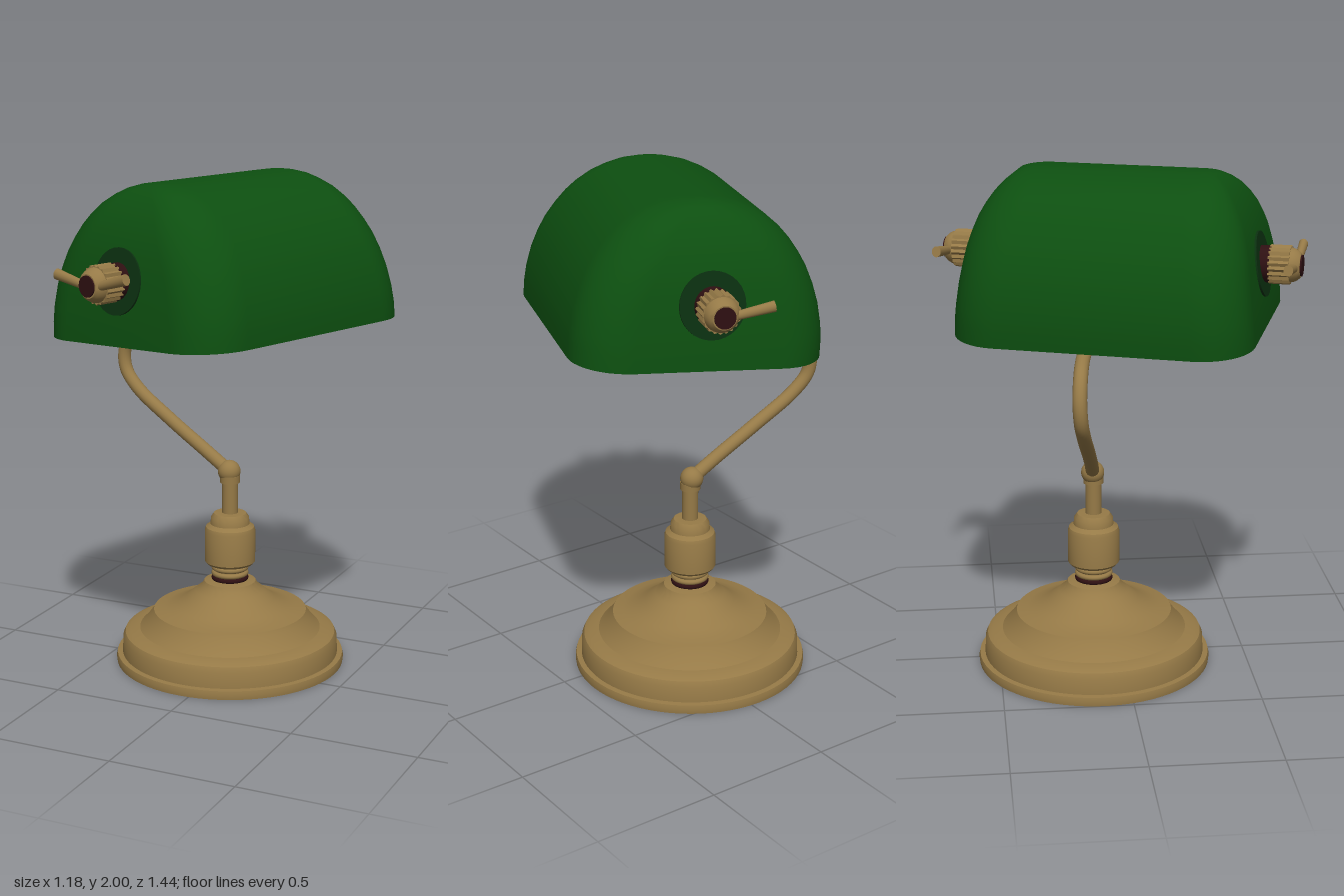
import * as THREE from 'three';
import { toCreasedNormals } from 'three/addons/utils/BufferGeometryUtils.js';

const mat = (name, color) => {
  const m = new THREE.MeshStandardMaterial({ color });
  m.name = name;
  return m;
};

function add(parent, name, geometry, material, x = 0, y = 0, z = 0) {
  const mesh = new THREE.Mesh(geometry, material);
  mesh.name = name;
  mesh.position.set(x, y, z);
  parent.add(mesh);
  return mesh;
}

const lathe = (pts, seg = 64) =>
  toCreasedNormals(new THREE.LatheGeometry(pts.map(p => new THREE.Vector2(p[0], p[1])), seg), 0.6);

// Skin over stacked rounded rectangles: [height, half width, half length, corner radius]
function loftRects(rows, steps = 10) {
  const pos = [], index = [], n = 4 * (steps + 1);
  for (const [h, w, l, r] of rows) {
    for (let c = 0; c < 4; c++) {
      const sx = c === 0 || c === 3 ? 1 : -1, sz = c < 2 ? 1 : -1;
      for (let i = 0; i <= steps; i++) {
        const a = (c + i / steps) * Math.PI / 2;
        pos.push(sx * (w - r) + r * Math.cos(a), h, sz * (l - r) + r * Math.sin(a));
      }
    }
  }
  for (let j = 0; j < rows.length - 1; j++) {
    for (let i = 0; i < n; i++) {
      const a = j * n + i, b = j * n + (i + 1) % n;
      index.push(a, a + n, b, b, a + n, b + n);
    }
  }
  const g = new THREE.BufferGeometry();
  g.setAttribute('position', new THREE.Float32BufferAttribute(pos, 3));
  g.setIndex(index);
  return toCreasedNormals(g, 0.7);
}

// Fluted barrel along +z
function flutedBarrel(rOuter, rInner, flutes, depth) {
  const pts = [];
  for (let i = 0; i < flutes * 2; i++) {
    const a = i * Math.PI / flutes, r = i % 2 ? rInner : rOuter;
    pts.push(new THREE.Vector2(r * Math.cos(a), r * Math.sin(a)));
  }
  return new THREE.ExtrudeGeometry(new THREE.Shape(pts), { depth, bevelEnabled: false });
}

// Wing nut on an end of the shade, axis +z
function makeKnob(wings, brass, maroon, darkGreen) {
  const knob = new THREE.Group();
  const plate = add(knob, 'knobPlate', new THREE.CylinderGeometry(0.125, 0.125, 0.008, 32), darkGreen, 0, 0.24, 0.552);
  plate.rotation.x = Math.PI / 2 - 0.165;
  add(knob, 'knobWasher', new THREE.CylinderGeometry(0.07, 0.07, 0.05, 32), maroon, 0, 0.24, 0.56).rotation.x = Math.PI / 2;
  add(knob, 'knobBarrel', flutedBarrel(0.074, 0.067, 20, 0.08), brass, 0, 0.24, 0.58);
  add(knob, 'knobHub', lathe([[0.066, 0], [0.063, 0.015], [0.055, 0.03], [0.045, 0.04], [0, 0.04]], 32),
    brass, 0, 0.24, 0.658).rotation.x = Math.PI / 2;
  add(knob, 'knobCap', new THREE.CylinderGeometry(0.04, 0.04, 0.008, 24), maroon, 0, 0.24, 0.7).rotation.x = Math.PI / 2;
  for (const s of wings) {
    const wing = add(knob, 'knobWing', new THREE.CylinderGeometry(0.021, 0.016, 0.16, 16), brass, s * 0.11, 0.255, 0.678);
    wing.rotation.z = -s * 1.35;
    wing.scale.z = 0.85;
  }
  return knob;
}

export function createModel() {
  const brass = mat('brass', 0x967a47);
  const green = mat('greenGlass', 0x0d4f10);
  const darkGreen = mat('darkGreen', 0x0b3010);
  const maroon = mat('maroon', 0x2e1012);
  const model = new THREE.Group();
  model.name = 'deskLamp';
  const bx = -0.035, bz = -0.115;

  // Stepped foot
  add(model, 'base', lathe([
    [0, 0], [0.465, 0], [0.467, 0.018], [0.463, 0.035], [0.442, 0.037], [0.44, 0.1], [0.43, 0.122],
    [0.41, 0.132], [0.37, 0.138], [0.352, 0.155], [0.32, 0.198], [0.312, 0.213], [0.27, 0.22],
    [0.225, 0.234], [0.18, 0.262], [0.14, 0.295], [0.115, 0.315], [0.105, 0.335], [0.07, 0.342], [0, 0.342],
  ], 72), brass, bx, 0, bz);

  // Ringed neck and socket
  add(model, 'neck', new THREE.CylinderGeometry(0.062, 0.065, 0.1, 40), brass, bx, 0.375, bz);
  for (const [y, m] of [[0.348, maroon], [0.368, brass], [0.392, brass]]) {
    add(model, 'neckRing', new THREE.TorusGeometry(0.065, 0.011, 10, 40), m, bx, y, bz).rotation.x = Math.PI / 2;
  }
  add(model, 'socket', lathe([
    [0, 0.41], [0.095, 0.41], [0.103, 0.42], [0.103, 0.55], [0.098, 0.565], [0.08, 0.578],
    [0.077, 0.605], [0.065, 0.622], [0, 0.625],
  ], 48), brass, bx, 0, bz);

  // Stem and elbow joint
  add(model, 'stem', new THREE.CylinderGeometry(0.032, 0.032, 0.16, 32), brass, bx, 0.69, bz);
  add(model, 'jointCollar', new THREE.CylinderGeometry(0.04, 0.04, 0.03, 32), brass, bx, 0.765, bz);
  add(model, 'joint', new THREE.SphereGeometry(0.046, 28, 18), brass, bx - 0.005, 0.795, bz - 0.003);

  // Bent arm
  const path = new THREE.CatmullRomCurve3([
    [-0.04, 0.795, -0.118], [-0.15, 0.865, -0.132], [-0.32, 0.97, -0.157], [-0.49, 1.085, -0.187],
    [-0.55, 1.16, -0.202], [-0.555, 1.24, -0.207], [-0.51, 1.32, -0.2], [-0.42, 1.36, -0.185],
    [-0.3, 1.388, -0.158], [-0.18, 1.405, -0.13], [-0.13, 1.425, -0.12],
  ].map(p => new THREE.Vector3(...p)));
  add(model, 'arm', new THREE.TubeGeometry(path, 90, 0.027, 16), brass);
  add(model, 'armTip', new THREE.SphereGeometry(0.036, 24, 16), brass, -0.17, 1.407, -0.128);

  // Shade, turned on the arm and slightly rolled
  const shade = new THREE.Group();
  shade.name = 'shade';
  shade.position.set(0, 1.42, 0);
  shade.rotation.set(0, -0.34, 0.062, 'YXZ');
  model.add(shade);
  add(shade, 'shadeShell', loftRects([
    [0.03, 0, 0.1, 0], [0.03, 0.445, 0.54, 0.17], [0, 0.455, 0.55, 0.18],
    [0, 0.48, 0.575, 0.2], [0.06, 0.48, 0.572, 0.2], [0.12, 0.475, 0.566, 0.2], [0.2, 0.46, 0.556, 0.2],
    [0.27, 0.438, 0.545, 0.2], [0.33, 0.412, 0.534, 0.2], [0.38, 0.382, 0.52, 0.195], [0.43, 0.345, 0.502, 0.185],
    [0.47, 0.307, 0.481, 0.17], [0.51, 0.257, 0.455, 0.15], [0.54, 0.203, 0.428, 0.13],
    [0.562, 0.145, 0.4, 0.1], [0.575, 0.085, 0.37, 0.07], [0.58, 0.03, 0.34, 0.03], [0.581, 0, 0.32, 0],
  ]), green);

  // Mounting flange under the shade
  add(shade, 'flange', lathe([[0, -0.018], [0.04, -0.016], [0.07, 0], [0.1, 0.02], [0.1, 0.034]], 40),
    brass, -0.155, 0.004, -0.072);

  // End knobs; the rear one has a single wing
  const front = makeKnob([1, -1], brass, maroon, darkGreen);
  front.name = 'frontKnob';
  const back = makeKnob([1], brass, maroon, darkGreen);
  back.name = 'backKnob';
  back.rotation.y = Math.PI;
  shade.add(front, back);

  return model;
}
